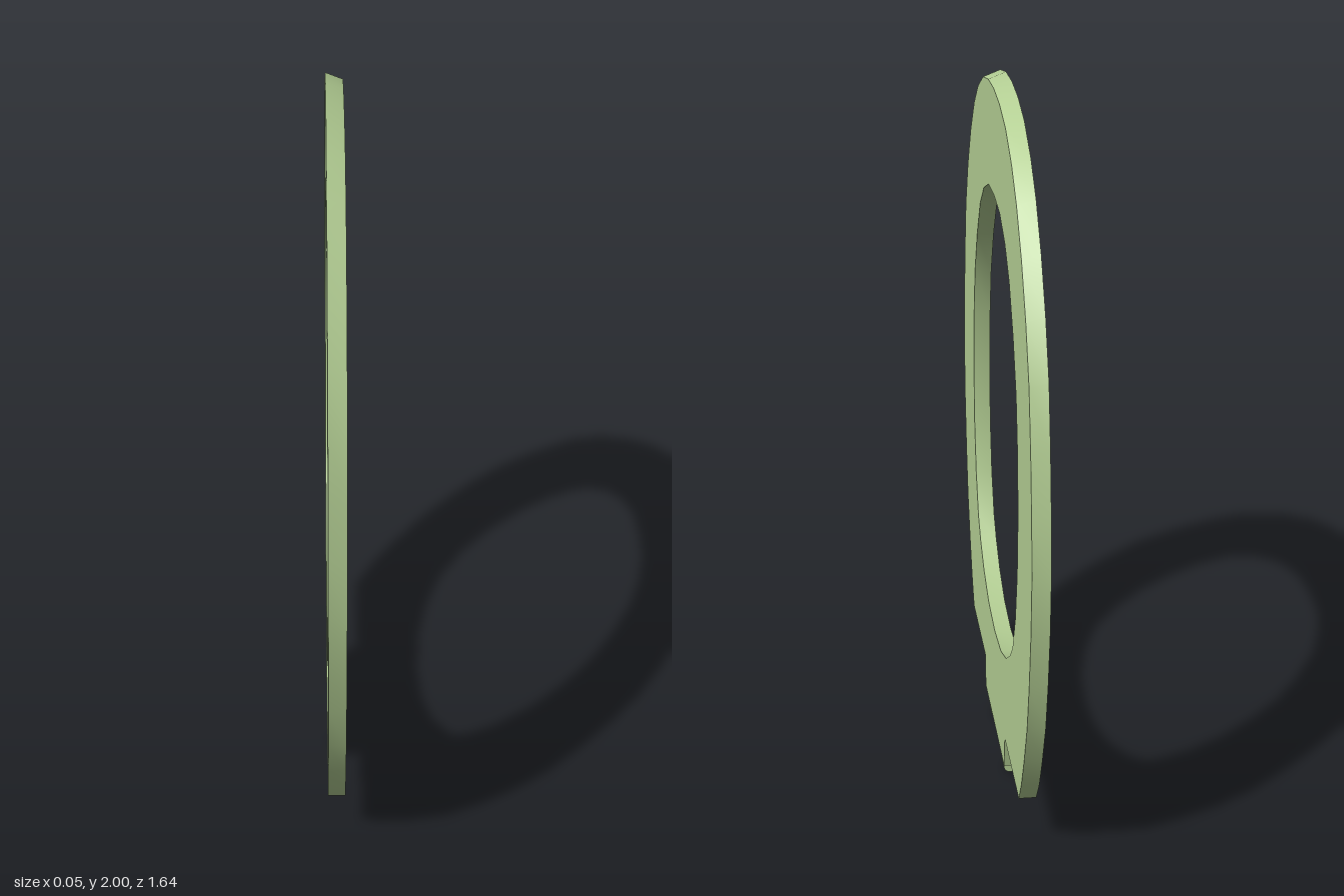
import * as THREE from 'three';
import { toCreasedNormals } from 'three/addons/utils/BufferGeometryUtils.js';

const FRONT = 0.024, BACK = -0.024, FLOOR = 0.008, LIP = 0.026;

// Half profiles as [z, y], from the bottom up to the top centre
const OUTER = [[0.235, 0.055], [0.25, 0.155], [0.568, 0.155], [0.63, 0.235], [0.684, 0.34], [0.743, 0.475],
  [0.78, 0.62], [0.81, 0.79], [0.822, 0.955], [0.81, 1.115], [0.785, 1.28], [0.748, 1.444], [0.68, 1.59],
  [0.594, 1.72], [0.493, 1.83], [0.39, 1.905], [0.26, 1.965], [0.13, 1.992], [0, 2]];
const HOLE = [[0, 0.37], [0.154, 0.385], [0.276, 0.428], [0.366, 0.485], [0.424, 0.54], [0.483, 0.66],
  [0.52, 0.81], [0.533, 0.985], [0.52, 1.157], [0.488, 1.305], [0.424, 1.44], [0.34, 1.56],
  [0.244, 1.635], [0.13, 1.68], [0, 1.69]];

const mirror = (half) => {
  const other = half.filter(([z]) => z > 0).reverse().map(([z, y]) => [-z, y]);
  return [...half, ...other].map(([z, y]) => new THREE.Vector2(z, y));
};

// Mitred offset to the left of the direction of travel
const offset = (loop, d) => loop.map((p, i) => {
  const n = loop.length;
  const left = (a, b) => new THREE.Vector2(a.y - b.y, b.x - a.x).normalize();
  const n1 = left(loop[(i + n - 1) % n], p), n2 = left(p, loop[(i + 1) % n]);
  return n1.clone().add(n2).multiplyScalar(d / (1 + n1.dot(n2))).add(p);
});

// Walls through a series of [loop, x] rings
function walls(rings) {
  const pos = [], index = [], n = rings[0][0].length;
  rings.forEach(([loop, x]) => loop.forEach((p) => pos.push(x, p.y, p.x)));
  for (let r = 0; r < rings.length - 1; r++) {
    for (let i = 0; i < n; i++) {
      const a = r * n + i, b = r * n + (i + 1) % n;
      index.push(a, b, b + n, a, b + n, a + n);
    }
  }
  const g = new THREE.BufferGeometry();
  g.setAttribute('position', new THREE.Float32BufferAttribute(pos, 3));
  g.setIndex(index);
  return toCreasedNormals(g, 0.5);
}

// Flat face with an opening, facing +x (side 1) or -x (side -1)
function face(loop, opening, x, side) {
  const shape = new THREE.Shape(loop);
  shape.holes.push(new THREE.Path(opening));
  return new THREE.ShapeGeometry(shape).rotateY(side * Math.PI / 2).translate(x, 0, 0);
}

export function createModel() {
  const group = new THREE.Group();
  const material = new THREE.MeshStandardMaterial({ color: 0xb4cf94 });
  const add = (name, geometry) => {
    const mesh = new THREE.Mesh(geometry, material);
    mesh.name = name;
    group.add(mesh);
    return mesh;
  };

  const outer = mirror(OUTER), hole = mirror(HOLE).reverse();
  // The front outline is slightly smaller, giving the rim its draft
  const outerFront = outer.map((p) => new THREE.Vector2(p.x * (p.y > 0.16 ? 0.99 : 1),
    p.y > 0.16 ? 0.155 + (p.y - 0.155) * 0.99 : p.y));
  const lip = offset(outer, LIP), holeLip = offset(hole, LIP);

  // Seat ring: flat front, hollow back with raised lips
  add('seatFront', face(outerFront, hole, FRONT, 1));
  add('recessFloor', face(lip, holeLip, FLOOR, -1));
  add('outerRim', walls([[outerFront, FRONT], [outer, BACK], [lip, BACK], [lip, FLOOR]]));
  add('innerRim', walls([[hole, FRONT], [hole, BACK], [holeLip, BACK], [holeLip, FLOOR]]));

  // Bumper pads in the recess, and rounded hinge lugs under the tab
  const lug = new THREE.Shape();
  lug.moveTo(0.018, 0.058);
  lug.lineTo(-0.018, 0.058);
  lug.lineTo(-0.018, 0.018);
  lug.absarc(0, 0.018, 0.018, Math.PI, 2 * Math.PI, false);
  for (const s of [1, -1]) {
    for (const [z1, y1, z2, y2] of [[0.36, 1.66, 0.48, 1.79], [0.54, 0.71, 0.72, 0.6]]) {
      const pad = add('bumperPad', new THREE.BoxGeometry(0.028, 0.04, Math.hypot(z2 - z1, y2 - y1)));
      pad.position.set(FLOOR - 0.013, (y1 + y2) / 2, s * (z1 + z2) / 2);
      pad.rotation.x = -s * Math.atan2(y2 - y1, z2 - z1);
    }
    const g = new THREE.ExtrudeGeometry(lug, { depth: 0.05, bevelEnabled: false, curveSegments: 10 });
    add('hingeLug', toCreasedNormals(g, 0.6)).position.z = s * 0.155 - 0.025;
  }
  return group;
}
